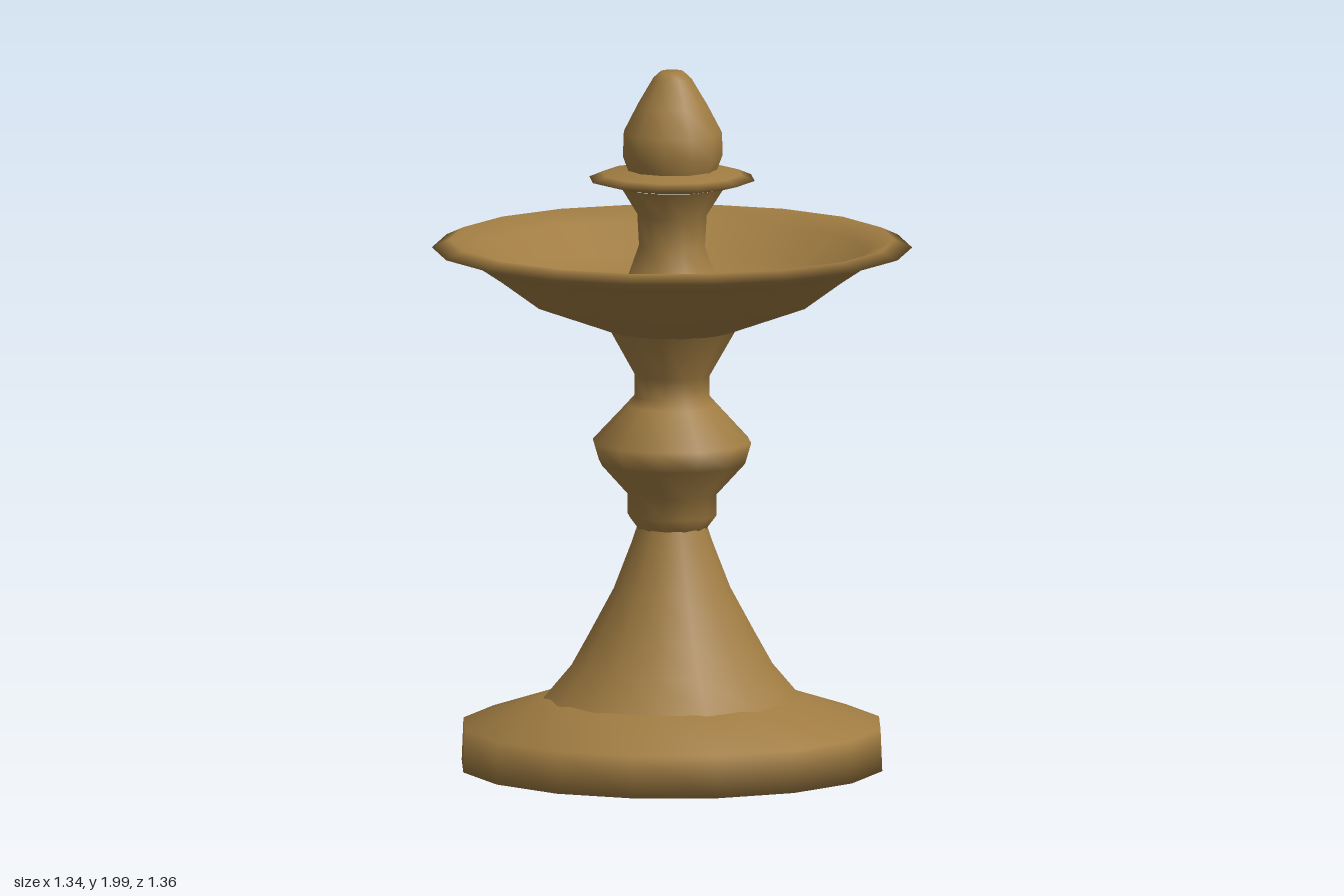
import * as THREE from 'three';

export function createModel() {
  const fountain = new THREE.Group();
  fountain.name = 'fountain';

  const stone = new THREE.MeshStandardMaterial({ color: 0xa07c42 });
  stone.name = 'sandstone';

  // Turns a profile of [radius, height] pairs, listed from bottom to top
  function turned(name, sides, profile) {
    const points = profile.map(([r, y]) => new THREE.Vector2(r, y));
    const mesh = new THREE.Mesh(new THREE.LatheGeometry(points, sides), stone);
    mesh.name = name;
    fountain.add(mesh);
  }

  // Round plinth with a sloping top
  turned('base', 16, [
    [0, 0.01], [0.3, 0.008], [0.605, 0.01], [0.6, 0.13], [0.355, 0.21],
  ]);

  // Flared pedestal
  turned('pedestal', 14, [
    [0.365, 0.206], [0.285, 0.3], [0.235, 0.39], [0.165, 0.52], [0.115, 0.65], [0.098, 0.7],
  ]);

  // Collar, bulb and upper neck of the column
  turned('column', 12, [
    [0.098, 0.69], [0.128, 0.73], [0.128, 0.79], [0.21, 0.88], [0.228, 0.94],
    [0.13, 1.045], [0.108, 1.07], [0.108, 1.13], [0.185, 1.265],
  ]);

  // Wide bowl: underside, rim and hollow inside
  turned('bowl', 18, [
    [0.18, 1.26], [0.4, 1.34], [0.51, 1.42], [0.57, 1.46], [0.68, 1.495],
    [0.63, 1.518], [0.55, 1.485], [0.46, 1.41], [0.36, 1.365], [0.2, 1.345], [0.1, 1.345],
  ]);

  // Stem rising from the bowl floor
  turned('stem', 12, [
    [0.21, 1.34], [0.13, 1.4], [0.095, 1.5], [0.1, 1.59], [0.15, 1.67],
  ]);

  // Small saucer
  turned('saucer', 12, [
    [0.13, 1.668], [0.18, 1.676], [0.238, 1.692], [0.2, 1.708], [0.11, 1.722],
  ]);

  // Acorn-shaped finial with a small flat tip
  turned('finial', 11, [
    [0.125, 1.712], [0.143, 1.76], [0.142, 1.825], [0.1, 1.905], [0.055, 1.98], [0.033, 2], [0, 2],
  ]);

  return fountain;
}
